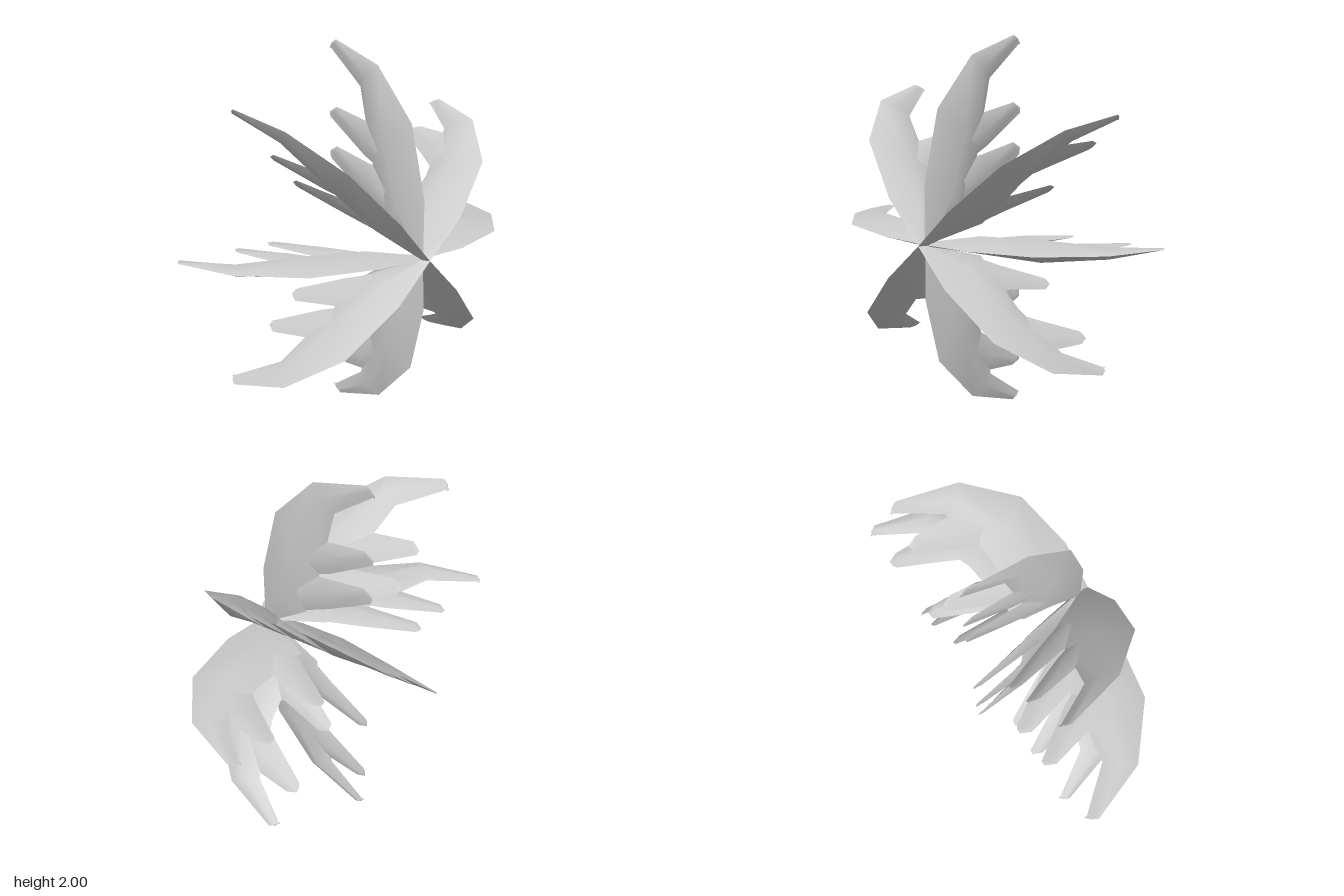
import * as THREE from 'three';

// Stations along a finger: [outer r, outer z, inner r, inner z, half thickness]
const bladeA = {
  mainFinger: [
    [0, 0.33, 0, 0.27, 0.012],
    [0.3, 0.335, 0.16, 0.04, 0.045],
    [0.67, 0.24, 0.42, -0.05, 0.056],
    [0.93, -0.01, 0.81, -0.145, 0.03],
    [1.03, -0.335, 0.99, -0.385, 0.004],
    [1.01, -0.37, 0.975, -0.385, 0],
  ],
  middleFinger: [
    [0.6, 0.08, 0.38, 0.06, 0.03],
    [0.63, -0.06, 0.46, -0.12, 0.028],
    [0.68, -0.335, 0.615, -0.375, 0.005],
    [0.65, -0.39, 0.62, -0.388, 0],
  ],
  innerFinger: [
    [0.4, 0.08, 0.16, 0.06, 0.03],
    [0.42, -0.08, 0.25, -0.12, 0.026],
    [0.47, -0.335, 0.395, -0.375, 0.005],
    [0.44, -0.39, 0.41, -0.388, 0],
  ],
};
const bladeB = {
  mainFinger: [
    [0, 0.33, 0, 0.27, 0.012],
    [0.3, 0.335, 0.13, -0.04, 0.045],
    [0.67, 0.24, 0.5, -0.06, 0.056],
    [0.93, -0.01, 0.83, -0.155, 0.03],
    [1.03, -0.335, 0.99, -0.385, 0.004],
    [1.01, -0.37, 0.975, -0.385, 0],
  ],
  middleFinger: [
    [0.78, 0.05, 0.5, 0.03, 0.035],
    [0.8, -0.085, 0.62, -0.17, 0.025],
    [0.815, -0.335, 0.735, -0.375, 0.005],
    [0.79, -0.39, 0.755, -0.388, 0],
  ],
  innerFinger: [
    [0.4, 0.06, 0.12, 0.02, 0.03],
    [0.38, -0.08, 0.22, -0.13, 0.026],
    [0.43, -0.335, 0.355, -0.375, 0.005],
    [0.405, -0.39, 0.37, -0.388, 0],
  ],
};

// Flat lens-shaped strip: sharp outer and inner edges, raised ridge between
function fingerGeometry(stations, length, shift) {
  const pos = [];
  const index = [];
  for (const side of [1, -1]) {
    const base = pos.length / 3;
    for (const [ro, zo, ri, zi, t] of stations) {
      const k = length / 1.03;
      pos.push(0, ro * k, zo + shift);
      pos.push(side * t, (ro * 0.5 + ri * 0.5) * k, (zo + zi) / 2 + shift);
      pos.push(0, ri * k, zi + shift);
    }
    for (let s = 0; s < stations.length - 1; s++) {
      for (let j = 0; j < 2; j++) {
        const a = base + s * 3 + j, b = a + 1, c = a + 3, d = a + 4;
        if (side > 0) index.push(a, b, c, b, d, c);
        else index.push(a, c, b, b, c, d);
      }
    }
  }
  const g = new THREE.BufferGeometry();
  g.setAttribute('position', new THREE.Float32BufferAttribute(pos, 3));
  g.setIndex(index);
  g.computeVertexNormals();
  return g;
}

export function createModel() {
  const model = new THREE.Group();
  model.name = 'radialBlades';
  const material = new THREE.MeshStandardMaterial({ color: 0xcccccc, side: THREE.DoubleSide });

  // Eight blades: [name, angle from up, length, profile, forward shift]
  const blades = [
    ['topBlade', 0, 1.045, bladeA, 0],
    ['upperRightBlade', 42.5, 1.04, bladeA, 0.05],
    ['rightBlade', 88, 1.025, bladeA, 0],
    ['lowerRightBlade', 131.4, 1.005, bladeA, 0.05],
    ['bottomBlade', 180.5, 0.953, bladeB, 0],
    ['lowerLeftBlade', 224.4, 0.944, bladeB, 0.05],
    ['leftBlade', 270.5, 0.975, bladeB, 0],
    ['upperLeftBlade', 312.3, 0.975, bladeB, 0.05],
  ];
  for (const [name, angle, length, profile, shift] of blades) {
    const blade = new THREE.Group();
    blade.name = name;
    for (const [part, stations] of Object.entries(profile)) {
      const mesh = new THREE.Mesh(fingerGeometry(stations, length, shift), material);
      mesh.name = part;
      blade.add(mesh);
    }
    blade.rotation.z = THREE.MathUtils.degToRad(angle);
    blade.position.set(0.025, 0.955, 0);
    model.add(blade);
  }
  return model;
}
